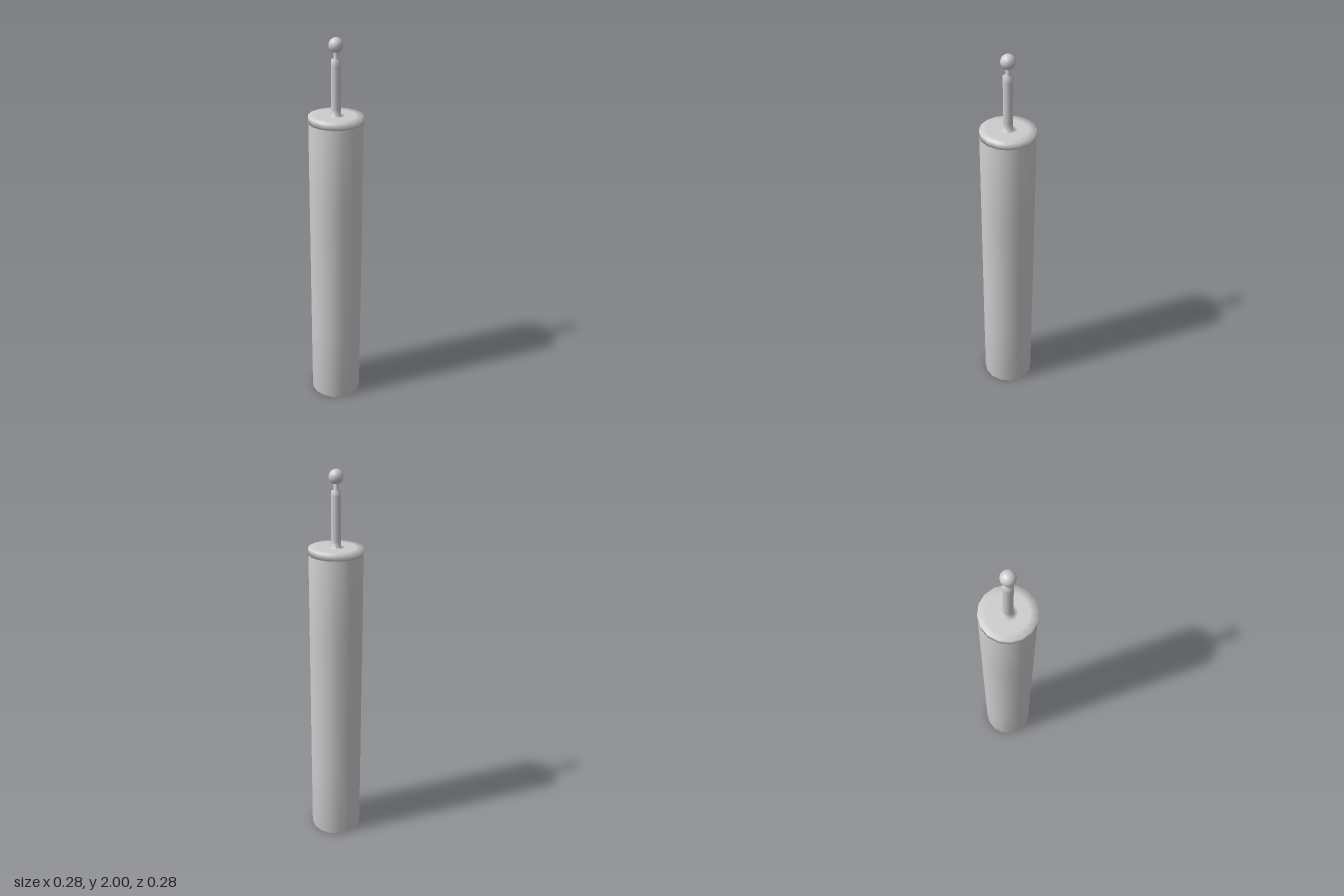
import * as THREE from 'three';

export function createModel() {
  const model = new THREE.Group();
  const grey = new THREE.MeshStandardMaterial({ color: 0xcccccc });
  grey.name = 'plain grey';

  // Smooth turned part from a [radius, height] profile, listed bottom to top
  const turned = (name, profile, sides) => {
    const points = profile.map(([r, y]) => new THREE.Vector2(r, y));
    const mesh = new THREE.Mesh(new THREE.LatheGeometry(points, sides), grey);
    mesh.name = name;
    model.add(mesh);
  };

  // Long barrel with closed ends
  turned('barrel', [
    [0, 0], [0.1, 0], [0.137, 0], [0.137, 0.4], [0.137, 0.8],
    [0.137, 1.2], [0.137, 1.588], [0.1, 1.588], [0, 1.588],
  ], 16);

  // Lid with the plunger rod and its narrow neck rising from it
  turned('lidAndRod', [
    [0, 1.592], [0.1, 1.592], [0.138, 1.592], [0.138, 1.625], [0.1, 1.625],
    [0.045, 1.625], [0.024, 1.625], [0.024, 1.66], [0.024, 1.87],
    [0.024, 1.898], [0.012, 1.902], [0.012, 1.945],
  ], 16);

  // Ball knob
  const knob = new THREE.Mesh(new THREE.SphereGeometry(0.0355, 16, 12), grey);
  knob.name = 'knob';
  knob.position.y = 1.9645;
  model.add(knob);

  // Thin seam ring between barrel and lid
  turned('seam', [[0.132, 1.586], [0.132, 1.594]], 16);

  return model;
}
